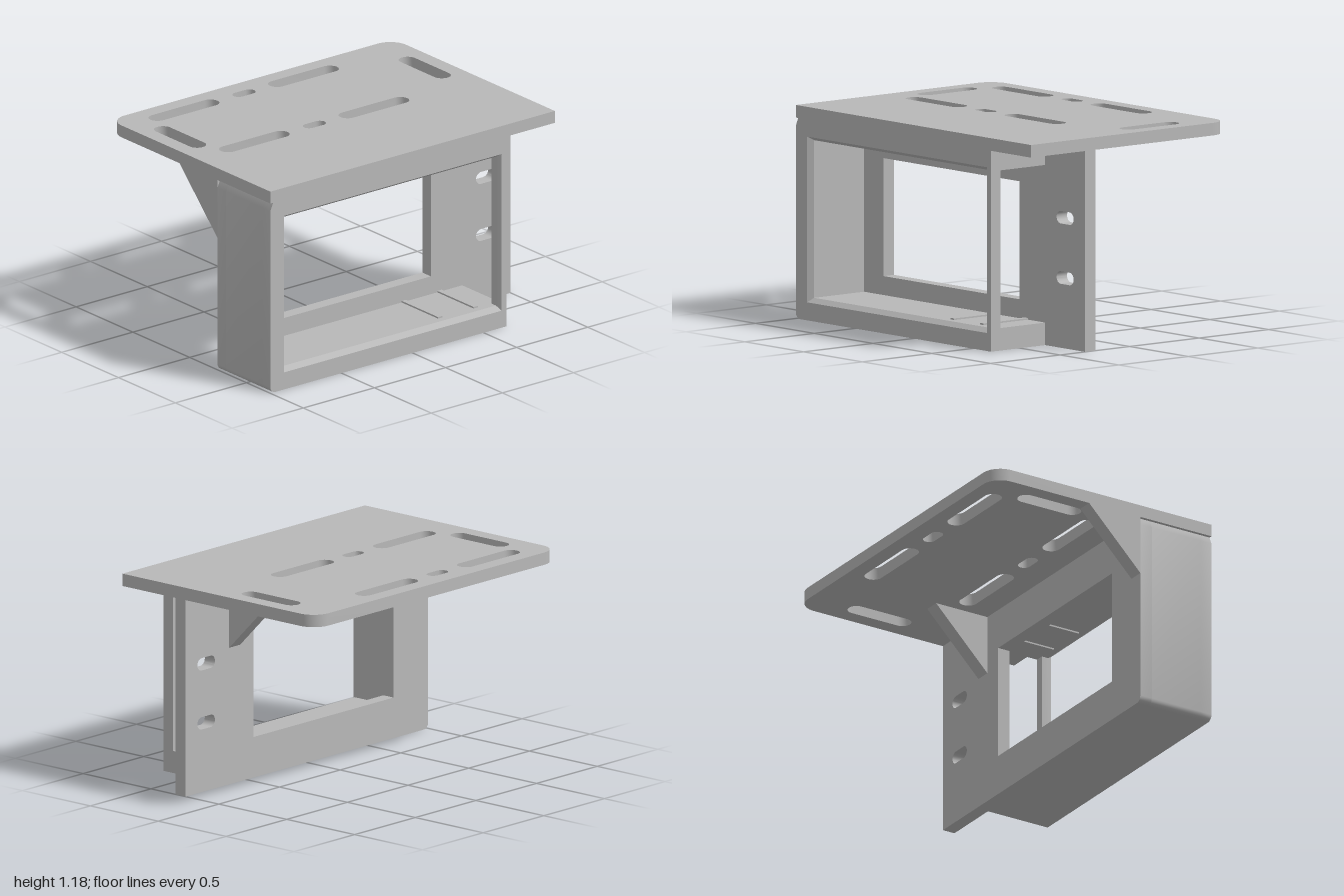
import * as THREE from 'three';
import { toCreasedNormals } from 'three/addons/utils/BufferGeometryUtils.js';

const BACK = 0.245, INNER = 0.32, FRAME = 0.64, FRONT = 0.71; // depths of the housing along x
const TOP = 1.115;                                            // underside of the top plate

const V = (x, y) => new THREE.Vector2(x, y);

// Rounded slot outline centred on (cx, cy)
function slot(cx, cy, w, h) {
  const p = new THREE.Path(), r = Math.min(w, h) / 2;
  const a = w / 2 - r, b = h / 2 - r, pts = [];
  for (const [sx, sy, start] of [[1, 1, 0], [-1, 1, 1], [-1, -1, 2], [1, -1, 3]]) {
    for (let i = 0; i <= 6; i++) {
      const t = (start + i / 6) * Math.PI / 2;
      const q = V(cx + sx * a + r * Math.cos(t), cy + sy * b + r * Math.sin(t));
      if (!pts.length || pts[pts.length - 1].distanceTo(q) > 1e-5) pts.push(q);
    }
  }
  if (pts[0].distanceTo(pts[pts.length - 1]) < 1e-5) pts.pop();
  return p.setFromPoints(pts);
}

function extrude(shape, depth) {
  return new THREE.ExtrudeGeometry(shape, { depth, bevelEnabled: false, curveSegments: 8 });
}

// Extrude a (-z, y) profile along x from x0 to x1
function alongX(shape, x0, x1) {
  return extrude(shape, x1 - x0).rotateY(Math.PI / 2).translate(x0, 0, 0);
}

// Housing outline in (-z, y): relief under the plate, rounded bottom edge
function outline(end) {
  const pts = [V(end, 0), V(end, TOP), V(-0.98, TOP), V(-1, 1.07)], r = 0.035;
  for (let i = 0; i <= 4; i++) {
    const t = Math.PI + i * Math.PI / 8;
    pts.push(V(-1 + r + r * Math.cos(t), r + r * Math.sin(t)));
  }
  return pts;
}

// Rectangle with the same point count as the outline
function opening(u0, u1, y0, y1) {
  return [V(u1, y0), V(u1, y1), V(u0, y1), V(u0, y1), ...Array.from({ length: 5 }, () => V(u0, y0))];
}

// Closed ring lofted through loops at given x positions
function loftRing(loops) {
  const pos = [];
  loops.forEach(([xa, a], k) => {
    const [xb, b] = loops[(k + 1) % loops.length];
    a.forEach((p, j) => {
      const n = (j + 1) % a.length;
      for (const [x, q] of [[xa, p], [xa, a[n]], [xb, b[n]], [xa, p], [xb, b[n]], [xb, b[j]]]) {
        pos.push(x, q.y, -q.x);
      }
    });
  });
  const g = new THREE.BufferGeometry();
  g.setAttribute('position', new THREE.Float32BufferAttribute(pos, 3));
  g.computeVertexNormals();
  return g;
}

export function createModel() {
  const group = new THREE.Group();
  const metal = new THREE.MeshStandardMaterial({ color: 0xb8b8b8 });
  metal.name = 'plain grey';
  const add = (name, geometry) => {
    const mesh = new THREE.Mesh(toCreasedNormals(geometry, 0.5), metal);
    mesh.name = name;
    group.add(mesh);
  };

  // Top plate with two rounded corners and mounting slots
  const plate = new THREE.Shape(), r = 0.11;
  plate.moveTo(0.71, -1);
  plate.lineTo(0.71, 1);
  plate.lineTo(-0.71 + r, 1);
  plate.absarc(-0.71 + r, 1 - r, r, Math.PI / 2, Math.PI);
  plate.lineTo(-0.71, -1 + r);
  plate.absarc(-0.71 + r, -1 + r, r, Math.PI, Math.PI * 1.5);
  plate.closePath();
  for (const x of [-0.57, 0.05]) {
    plate.holes.push(slot(x, 0.255, 0.1, 0.47), slot(x, -0.585, 0.1, 0.47), slot(x, -0.163, 0.07, 0.145));
  }
  for (const z of [-0.86, 0.86]) plate.holes.push(slot(-0.26, z, 0.4, 0.1));
  add('topPlate', extrude(plate, 0.07).rotateX(-Math.PI / 2).translate(0, TOP, 0));

  // Back panel with window, extended into a slotted mounting tab
  const back = new THREE.Shape(outline(1));
  back.holes.push(new THREE.Path([V(-0.715, 0.23), V(0.44, 0.23), V(0.44, 0.885), V(-0.715, 0.885)]));
  for (const y of [0.39, 0.725]) back.holes.push(slot(0.83, y, 0.145, 0.07));
  add('backPanel', alongX(back, BACK, INNER));

  // Floor, side wall and ceiling in one channel, open at the tab end
  const channel = new THREE.Shape([
    V(0.66, 0), V(0.66, 0.125), V(-0.88, 0.125), V(-0.88, 1), V(0.66, 1), ...outline(0.66).slice(1),
  ]);
  add('housingChannel', alongX(channel, INNER, FRAME));

  // Front frame with chamfered opening
  const inner = opening(-0.88, 0.61, 0.125, 1);
  add('frontFrame', loftRing([
    [FRAME, outline(0.66)], [FRONT, outline(0.66)],
    [FRONT, opening(-0.905, 0.625, 0.1, 1.02)], [FRONT - 0.03, inner], [FRAME, inner],
  ]));

  // Low ribs across floor and ceiling
  for (const z of [-0.25, -0.5]) {
    for (const y of [0.128, 0.997]) {
      add('guideRib', new THREE.BoxGeometry(FRAME - INNER, 0.012, 0.03).translate((FRAME + INNER) / 2, y, z));
    }
  }

  // Triangular gussets bracing plate and back panel
  const tri = new THREE.Shape([V(BACK, 0.775), V(BACK, TOP), V(-0.09, TOP)]);
  for (const z of [0.91, -0.64]) add('gusset', extrude(tri, 0.09).translate(0, 0, z));

  return group;
}
